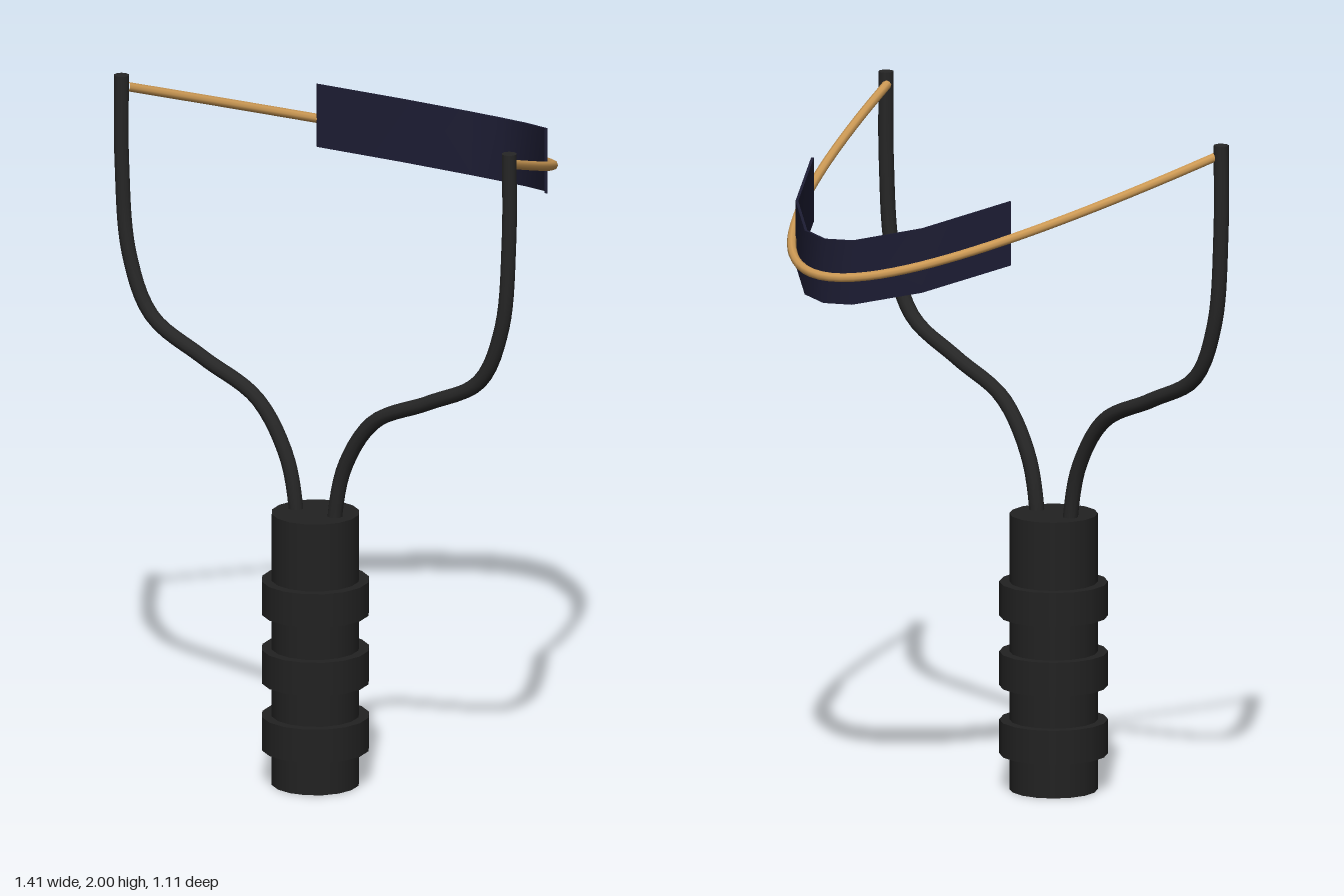
import * as THREE from 'three';

const mat = (name, color, side = THREE.FrontSide) => {
  const m = new THREE.MeshStandardMaterial({ color, side });
  m.name = name;
  return m;
};

export function createModel() {
  const grip = mat('grip black', 0x222222);
  const metal = mat('frame black', 0x262626);
  const rubber = mat('tan rubber', 0xcd9a55);
  const leather = mat('navy leather', 0x1c1c32, THREE.DoubleSide);
  const model = new THREE.Group();
  const z0 = 0.4; // plane of the handle and fork

  const add = (name, geo, material, x = 0, y = 0, z = 0) => {
    const mesh = new THREE.Mesh(geo, material);
    mesh.name = name;
    mesh.position.set(x, y, z);
    model.add(mesh);
    return mesh;
  };

  // Handle with three grip rings
  add('handle', new THREE.CylinderGeometry(0.127, 0.127, 0.81, 16), grip, 0, 0.405, z0);
  [0.155, 0.355, 0.56].forEach((y, i) =>
    add('gripRing' + (i + 1), new THREE.CylinderGeometry(0.156, 0.156, 0.1, 16), grip, 0, y, z0));

  // Mirrored fork arms with capped tips
  const armPoints = [[0.066, 0.72], [0.071, 0.83], [0.106, 0.97], [0.206, 1.115], [0.397, 1.205],
    [0.577, 1.3], [0.655, 1.47], [0.681, 1.74], [0.682, 1.998]];
  for (const [side, label] of [[1, 'left'], [-1, 'right']]) {
    const path = new THREE.CatmullRomCurve3(
      armPoints.map(([x, y]) => new THREE.Vector3(side * x, y, z0)));
    add(label + 'Arm', new THREE.TubeGeometry(path, 48, 0.022, 10), metal);
    add(label + 'ArmTip', new THREE.CylinderGeometry(0.022, 0.022, 0.01, 10), metal,
      side * 0.682, 1.995, z0);
  }

  // Stretched band: a parabola in a tilted plane
  const bandAt = (x) => {
    const t = (x / 0.668) ** 2;
    return new THREE.Vector3(x, 1.657 + 0.308 * t, -0.54 + 0.93 * t);
  };
  const bandPoints = [];
  for (let i = 0; i <= 24; i++) bandPoints.push(bandAt(0.668 * (i / 12 - 1)));
  add('band', new THREE.TubeGeometry(new THREE.CatmullRomCurve3(bandPoints), 64, 0.0135, 8), rubber);

  // Pouch: a thin upright strip bent along the inside of the band
  const stations = [-0.415, -0.265, -0.1, 0, 0.1, 0.265, 0.415];
  const pouch = new THREE.BoxGeometry(6, 0.188, 0.008, 6, 1, 1);
  const pos = pouch.attributes.position;
  for (let i = 0; i < pos.count; i++) {
    const x = stations[Math.round(pos.getX(i) + 3)];
    const p = bandAt(x);
    const slope = 2 * 0.93 * x / 0.668 ** 2;
    const offset = (0.014 + pos.getZ(i)) / Math.hypot(1, slope);
    pos.setXYZ(i, x - slope * offset, p.y + 0.012 + pos.getY(i), p.z + offset);
  }
  pouch.computeVertexNormals();
  add('pouch', pouch, leather);

  return model;
}
